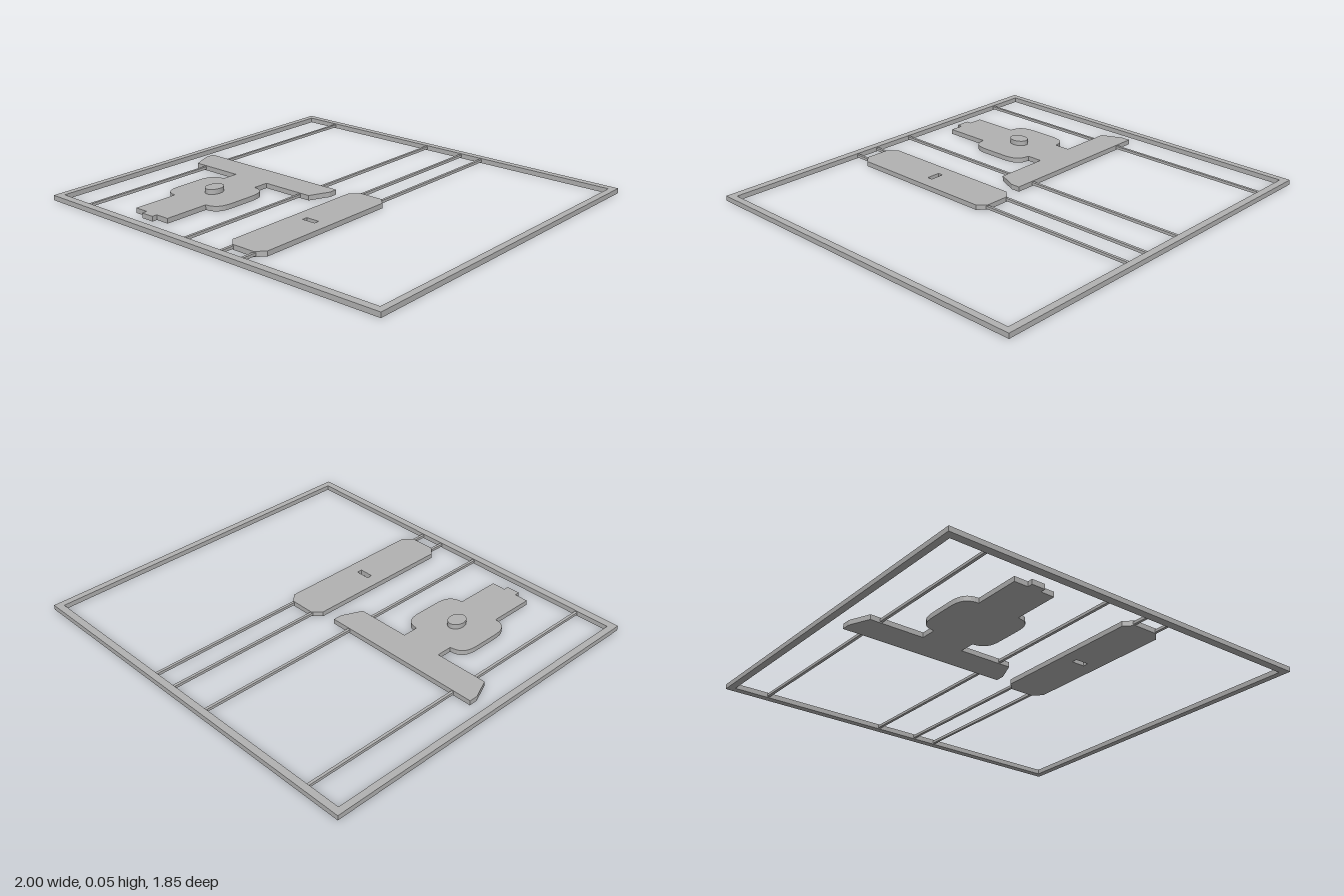
import * as THREE from 'three';

const H = 0.025; // common plate thickness

export function createModel() {
  const model = new THREE.Group();
  const grey = new THREE.MeshStandardMaterial({ color: 0xb2b2b2 });
  grey.name = 'grey';

  const add = (name, geometry) => {
    const mesh = new THREE.Mesh(geometry, grey);
    mesh.name = name;
    model.add(mesh);
    return mesh;
  };

  // Lists of [x, z] points seen from above
  const points = (list) => list.map(([x, z]) => new THREE.Vector2(x, -z));
  const rect = (x0, x1, z0, z1) => points([[x0, z0], [x0, z1], [x1, z1], [x1, z0]]);

  // Flat outline lying on the ground, raised to the plate thickness
  const plate = (name, shape) => {
    const g = new THREE.ExtrudeGeometry(shape, { depth: H, bevelEnabled: false, curveSegments: 8 });
    g.rotateX(-Math.PI / 2);
    return add(name, g);
  };

  // Outer frame
  const frame = new THREE.Shape(rect(-1, 1, -0.923, 0.923));
  frame.holes.push(new THREE.Path(rect(-0.966, 0.966, -0.887, 0.884)));
  plate('frame', frame);

  // Thin rods running front to back, interrupted by the plates
  const rods = [
    [-0.786, -0.89, 0], [-0.786, 0.12, 0.89],
    [-0.131, -0.89, 0], [-0.131, 0.12, 0.89],
    [0.094, -0.89, 0], [0.094, 0.78, 0.89],
    [0.222, -0.89, 0], [0.222, 0.78, 0.89],
  ];
  for (const [x, z0, z1] of rods) {
    const g = new THREE.BoxGeometry(0.014, 0.014, z1 - z0);
    add('rod', g).position.set(x, H / 2, (z0 + z1) / 2);
  }

  // T-shaped plate: half outline, mirrored about its own centre line
  const cx = -0.458;
  const half = new THREE.Path();
  half.moveTo(0.43, 0.016);
  half.lineTo(0.43, -0.03);
  half.lineTo(0.385, -0.134);
  half.lineTo(0.107, -0.134);
  half.lineTo(0.107, -0.217);
  half.bezierCurveTo(0.165, -0.22, 0.185, -0.25, 0.185, -0.32);
  half.lineTo(0.185, -0.44);
  half.bezierCurveTo(0.185, -0.51, 0.165, -0.54, 0.107, -0.543);
  half.lineTo(0.107, -0.78);
  half.lineTo(0.035, -0.78);
  half.lineTo(0.035, -0.807);
  const side = half.getPoints(8);
  const other = side.map((p) => new THREE.Vector2(-p.x, p.y)).reverse();
  const body = plate('tPlate', new THREE.Shape([...side, ...other]));
  body.position.x = cx;

  // Oval knob on the T-shaped plate
  const knob = add('knob', new THREE.CylinderGeometry(1, 1, H, 32));
  knob.scale.set(0.04, 1, 0.051);
  knob.position.set(cx, H * 1.5, 0.383);

  // Long plate with clipped corners and a slot
  const board = new THREE.Shape(points([
    [0.094, -0.053], [0.053, -0.012], [0.053, 0.765], [0.094, 0.807],
    [0.222, 0.807], [0.262, 0.765], [0.262, -0.012], [0.222, -0.053],
  ]));
  board.holes.push(new THREE.Path(rect(0.121, 0.193, 0.361, 0.389)));
  plate('longPlate', board);

  return model;
}
